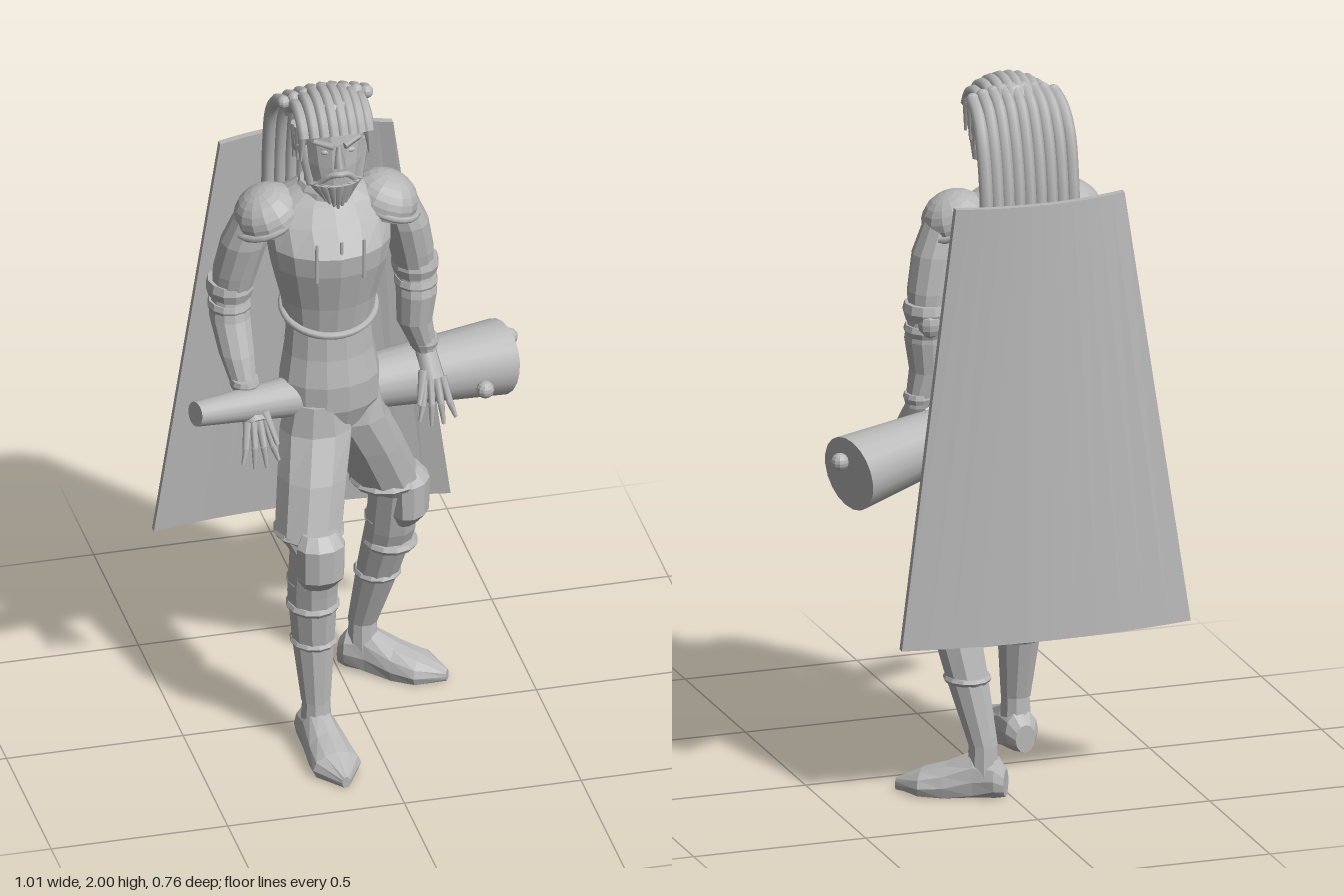
import * as THREE from 'three';

const grey = new THREE.MeshStandardMaterial({ color: 0xb8b8b8 });
grey.name = 'stone grey';
const CX = -0.083; // body midline
const V = (x, y, z) => new THREE.Vector3(x, y, z);

// Faceted skin over horizontal elliptical rings [y, x, z, rx, rz]
function loft(rings, n = 12) {
  const r = [...rings].sort((a, b) => a[0] - b[0]);
  const pos = [], idx = [];
  for (const [y, x, z, rx, rz] of r) {
    for (let i = 0; i < n; i++) {
      const t = (i / n) * Math.PI * 2;
      pos.push(x + rx * Math.cos(t), y, z + rz * Math.sin(t));
    }
  }
  for (let k = 0; k < r.length - 1; k++) {
    for (let i = 0; i < n; i++) {
      const a = k * n + i, b = k * n + (i + 1) % n;
      idx.push(a, a + n, b, b, a + n, b + n);
    }
  }
  const top = (r.length - 1) * n;
  for (let i = 1; i < n - 1; i++) idx.push(0, i, i + 1, top, top + i + 1, top + i);
  const g = new THREE.BufferGeometry();
  g.setAttribute('position', new THREE.Float32BufferAttribute(pos, 3));
  g.setIndex(idx);
  return flat(g);
}

function flat(g) {
  const f = g.index ? g.toNonIndexed() : g;
  f.computeVertexNormals();
  return f;
}

// Tapered round bar between two points
function rod(a, b, ra, rb, n = 8) {
  const d = b.clone().sub(a);
  const g = new THREE.CylinderGeometry(rb, ra, d.length(), n);
  g.applyQuaternion(new THREE.Quaternion().setFromUnitVectors(V(0, 1, 0), d.normalize()));
  g.translate((a.x + b.x) / 2, (a.y + b.y) / 2, (a.z + b.z) / 2);
  return g;
}

const tube = (pts, r, closed = false, n = 24) =>
  new THREE.TubeGeometry(new THREE.CatmullRomCurve3(pts, closed), n, r, 7, closed);

const ball = (x, y, z, rx, ry = rx, rz = rx) =>
  flat(new THREE.SphereGeometry(1, 10, 8).scale(rx, ry, rz)).translate(x, y, z);

export function createModel() {
  const model = new THREE.Group();
  const add = (name, g, parent = model) => {
    const m = new THREE.Mesh(g, grey);
    m.name = name;
    parent.add(m);
    return m;
  };
  const group = (name) => {
    const g = new THREE.Group();
    g.name = name;
    model.add(g);
    return g;
  };
  const band = (name, y, x, z, rx, rz, parent, h = 0.014) => add(name, loft([
    [y - h, x, z, rx * 0.9, rz * 0.9], [y, x, z, rx, rz], [y + h, x, z, rx * 0.92, rz * 0.92]]), parent);

  // Torso armour
  add('cuirass', loft([
    [1.27, CX, -0.02, 0.125, 0.095], [1.35, CX, -0.02, 0.135, 0.11], [1.47, CX, -0.015, 0.165, 0.135],
    [1.53, CX, -0.02, 0.175, 0.145], [1.6, CX, -0.045, 0.18, 0.12], [1.65, CX, -0.055, 0.15, 0.095],
    [1.69, CX, -0.05, 0.08, 0.065]], 16));
  add('tunicSkirt', loft([
    [0.95, CX, -0.01, 0.1, 0.075], [1.02, CX, -0.015, 0.14, 0.105], [1.1, CX, -0.015, 0.142, 0.108],
    [1.18, CX, -0.02, 0.128, 0.098], [1.3, CX, -0.02, 0.118, 0.09]], 14));
  const hem = [];
  for (let i = 0; i < 16; i++) {
    const t = (i / 16) * Math.PI * 2;
    hem.push(V(CX + 0.13 * Math.cos(t), 1.31 - 0.045 * Math.sin(t), -0.02 + 0.102 * Math.sin(t)));
  }
  add('cuirassHem', tube(hem, 0.011, true, 40));
  for (const dx of [-0.067, 0.003, 0.067]) {
    add('chestSpike', rod(V(CX + dx, 1.46, 0.112), V(CX + dx, 1.58, 0.113), 0.006, 0.005, 5));
  }
  add('neck', loft([[1.63, CX, -0.05, 0.08, 0.075], [1.72, CX, -0.04, 0.06, 0.065], [1.83, CX, -0.04, 0.06, 0.07]]));
  add('collar', loft([[1.65, CX, -0.05, 0.095, 0.085], [1.685, CX, -0.045, 0.085, 0.078], [1.7, CX, -0.045, 0.075, 0.07]]));

  // Head and face
  const head = group('head');
  add('skull', loft([
    [1.71, CX, 0.055, 0.035, 0.035], [1.75, CX, 0.035, 0.068, 0.065], [1.81, CX, 0.01, 0.085, 0.092],
    [1.88, CX, -0.015, 0.095, 0.113], [1.94, CX, -0.02, 0.09, 0.105], [1.98, CX, -0.015, 0.055, 0.065]], 14), head);
  add('nose', rod(V(CX, 1.815, 0.108), V(CX, 1.875, 0.095), 0.017, 0.008, 4), head);
  add('moustache', tube([V(CX - 0.05, 1.755, 0.075), V(CX - 0.025, 1.785, 0.095), V(CX, 1.793, 0.107),
    V(CX + 0.025, 1.785, 0.095), V(CX + 0.05, 1.755, 0.075)], 0.009), head);
  for (const s of [-1, 1]) {
    add('brow', rod(V(CX + s * 0.015, 1.878, 0.099), V(CX + s * 0.065, 1.886, 0.07), 0.01, 0.007, 5), head);
    add('eye', ball(CX + s * 0.035, 1.857, 0.085, 0.014, 0.008, 0.008), head);
    add('ear', ball(CX + s * 0.093, 1.845, -0.015, 0.012, 0.032, 0.02), head);
    add('sideburn', rod(V(CX + s * 0.085, 1.86, 0.03), V(CX + s * 0.066, 1.74, 0.05), 0.018, 0.014, 6), head);
    for (let i = 0; i < 3; i++) {
      add('sideLock', rod(V(CX + s * 0.092, 1.92 - i * 0.01, 0.05 - i * 0.035),
        V(CX + s * 0.098, 1.82 - i * 0.015, 0.055 - i * 0.04), 0.017, 0.004, 5), head);
    }
  }
  for (let i = -4; i <= 4; i++) { // beard tufts
    const a = i * 0.27;
    add('beardTuft', rod(V(CX + 0.068 * Math.sin(a), 1.755, 0.03 + 0.062 * Math.cos(a)),
      V(CX + 0.042 * Math.sin(a), 1.675 + 0.007 * Math.abs(i), 0.045 + 0.045 * Math.cos(a)), 0.02, 0.004, 5), head);
  }

  // Crown ridges and the long mane
  const hair = group('hair');
  for (let i = 0; i < 8; i++) {
    const dx = (i - 3.5) * 0.026, s = Math.sqrt(1 - (dx / 0.135) ** 2), pts = [];
    for (let k = 0; k <= 8; k++) {
      const a = 0.42 + k * 0.3;
      pts.push(V(CX + dx, 1.86 + 0.122 * s * Math.sin(a), -0.012 + 0.118 * s * Math.cos(a)));
    }
    add('crownStrand', tube(pts, 0.017), hair);
  }
  for (let i = 0; i < 9; i++) {
    const dx = (i - 4) * 0.0315, drop = 0.0012 * (i - 4) ** 2;
    add('maneStrand', tube([V(CX + dx * 0.93, 1.965 - drop, -0.06), V(CX + dx * 0.97, 1.94 - drop, -0.115),
      V(CX + dx, 1.86, -0.16), V(CX + dx, 1.74, -0.19), V(CX + dx, 1.6, -0.2), V(CX + dx, 1.475, -0.198)], 0.019), hair);
    add('maneRoot', ball(CX + dx * 0.93, 1.965 - drop, -0.06, 0.019), hair);
  }

  // Arms
  for (const s of [-1, 1]) {
    const arm = group(s > 0 ? 'leftArm' : 'rightArm');
    const X = (d) => CX + s * d;
    const wz = s > 0 ? -0.085 : 0.015;
    add('upperArm', loft([[1.33, X(0.262), -0.09, 0.052, 0.058], [1.42, X(0.25), -0.08, 0.062, 0.068],
      [1.52, X(0.228), -0.065, 0.065, 0.072], [1.62, X(0.195), -0.055, 0.055, 0.06]]), arm);
    const pauldron = flat(new THREE.SphereGeometry(1, 14, 8, 0, Math.PI * 2, 0, Math.PI * 0.62).scale(0.095, 0.08, 0.1));
    pauldron.rotateZ(-s * 0.35).translate(X(0.165), 1.605, -0.05);
    add('pauldron', pauldron, arm);
    const rim = new THREE.TorusGeometry(1, 0.11, 6, 20).rotateX(Math.PI / 2).scale(0.09, 0.09, 0.095);
    add('pauldronRim', rim.rotateZ(-s * 0.35).translate(X(0.17), 1.59, -0.05), arm);
    band('elbowGuard', 1.365, X(0.262), -0.09, 0.067, 0.073, arm, 0.024);
    band('elbowCuff', 1.31, X(0.264), -0.088, 0.062, 0.066, arm, 0.016);
    add('elbowPoint', ball(X(0.268), 1.34, -0.135, 0.035, 0.045, 0.03), arm);
    add('forearm', loft([[1.09, X(s > 0 ? 0.288 : 0.245), wz, 0.034, 0.038], [1.19, X(0.258), (wz - 0.08) / 2, 0.05, 0.055],
      [1.28, X(0.264), -0.083, 0.058, 0.064], [1.35, X(0.262), -0.09, 0.05, 0.055]]), arm);
    band('wristCuff', 1.115, X(s > 0 ? 0.285 : 0.247), wz, 0.042, 0.045, arm);
    // Hand
    const w = V(X(s > 0 ? 0.288 : 0.245), 1.1, wz);
    const k = s > 0 ? V(0.215, 1.015, -0.035) : V(-0.315, 1.02, 0.08);
    add('palm', rod(w, k, 0.028, 0.036, 7), arm);
    for (let i = 0; i < 4; i++) {
      const o = (i - 1.5) * 0.017;
      const a = V(k.x + o, k.y + 0.01, k.z + 0.01), b = V(k.x + o * 1.5, k.y - 0.055, k.z + 0.045);
      add('fingerBase', rod(a, b, 0.012, 0.01, 6), arm);
      add('fingerTip', rod(b, V(b.x + o * 0.5, b.y - 0.065 + Math.abs(o), b.z + 0.015), 0.01, 0.005, 6), arm);
    }
    add('thumb', rod(V(k.x - s * 0.025, k.y + 0.03, k.z), V(k.x - s * 0.05, k.y - 0.05, k.z + 0.05), 0.015, 0.007, 6), arm);
  }

  // Legs: joints differ because of the striding pose
  const legs = [
    { name: 'rightLeg', hip: [-0.125, 0.01], thigh: [-0.172, 0.11], knee: [-0.165, 0.155], calf: [-0.165, 0.125],
      low: [-0.16, 0.115], ankle: [-0.158, 0.135], turn: 0.1 },
    { name: 'leftLeg', hip: [-0.02, -0.03], thigh: [0.098, -0.11], knee: [0.128, -0.115], calf: [0.125, -0.15],
      low: [0.1, -0.2], ankle: [0.07, -0.245], turn: 1.0 }];
  for (const L of legs) {
    const leg = group(L.name);
    const mid = L.hip.map((v, i) => (v + L.thigh[i]) / 2);
    add('thigh', loft([[1.04, ...L.hip, 0.085, 0.08], [0.95, ...L.hip, 0.105, 0.09], [0.83, ...mid, 0.1, 0.1],
      [0.69, ...L.thigh, 0.096, 0.098], [0.64, ...L.knee, 0.07, 0.07]], 10), leg);
    band('trouserCuff', 0.68, ...L.thigh, 0.1, 0.103, leg);
    add('greave', loft([[0.15, ...L.ankle, 0.042, 0.045], [0.33, ...L.low, 0.06, 0.065],
      [0.5, ...L.calf, 0.072, 0.077], [0.66, ...L.knee, 0.072, 0.075]], 10), leg);
    band('greaveBand', 0.33, ...L.low, 0.067, 0.073, leg, 0.01);
    band('greaveBand', 0.45, ...L.calf, 0.076, 0.08, leg, 0.012);
    band('greaveTop', 0.53, ...L.calf, 0.074, 0.078, leg, 0.012);
    const cup = loft([[-0.085, 0, 0, 0.045, 0.03], [-0.05, 0, 0.01, 0.068, 0.05], [0.05, 0, 0.01, 0.07, 0.052],
      [0.085, 0, 0, 0.05, 0.03]], 10);
    add('kneeCup', cup.translate(0, 0, 0.035).rotateY(L.turn).translate(L.knee[0], 0.625, L.knee[1]), leg);
    add('ankle', loft([[0.06, ...L.ankle, 0.045, 0.052], [0.17, ...L.ankle, 0.038, 0.042]], 10), leg);
    // Boot runs heel to toe with a flat sole
    const boot = loft([[-0.065, 0, -0.04, 0.03, 0.04], [-0.04, 0, -0.055, 0.05, 0.06], [0.02, 0, -0.05, 0.052, 0.08],
      [0.1, 0, -0.03, 0.064, 0.063], [0.17, 0, -0.025, 0.07, 0.045], [0.245, 0, -0.015, 0.012, 0.018]], 12);
    boot.rotateX(Math.PI / 2);
    const p = boot.attributes.position;
    for (let i = 0; i < p.count; i++) p.setY(i, Math.max(0, p.getY(i)));
    boot.computeVertexNormals();
    add('boot', boot.rotateY(L.turn).translate(L.ankle[0], 0, L.ankle[1]), leg);
  }

  // Tapered club with round studs
  const club = group('club');
  add('clubShaft', rod(V(-0.492, 1.087, 0.106), V(0.445, 0.955, -0.205), 0.035, 0.107, 20), club);
  for (const [x, y, z] of [[0.48, 1, -0.228], [0.37, 0.945, -0.058], [0.2, 0.985, -0.24]]) {
    add('clubStud', ball(x, y, z, 0.025), club);
  }

  // Curved back shield: a bent slab, wider and further back at the bottom
  const shield = new THREE.BoxGeometry(2, 1.24, 0.02, 12, 1, 1);
  const q = shield.attributes.position;
  for (let i = 0; i < q.count; i++) {
    const u = q.getX(i), low = 0.5 - q.getY(i) / 1.24;
    q.setXYZ(i, CX + u * (0.245 + 0.175 * low), 1.09 + q.getY(i),
      q.getZ(i) - 0.316 - 0.05 * low + 0.041 * u * u);
  }
  add('backShield', flat(shield));
  return model;
}
